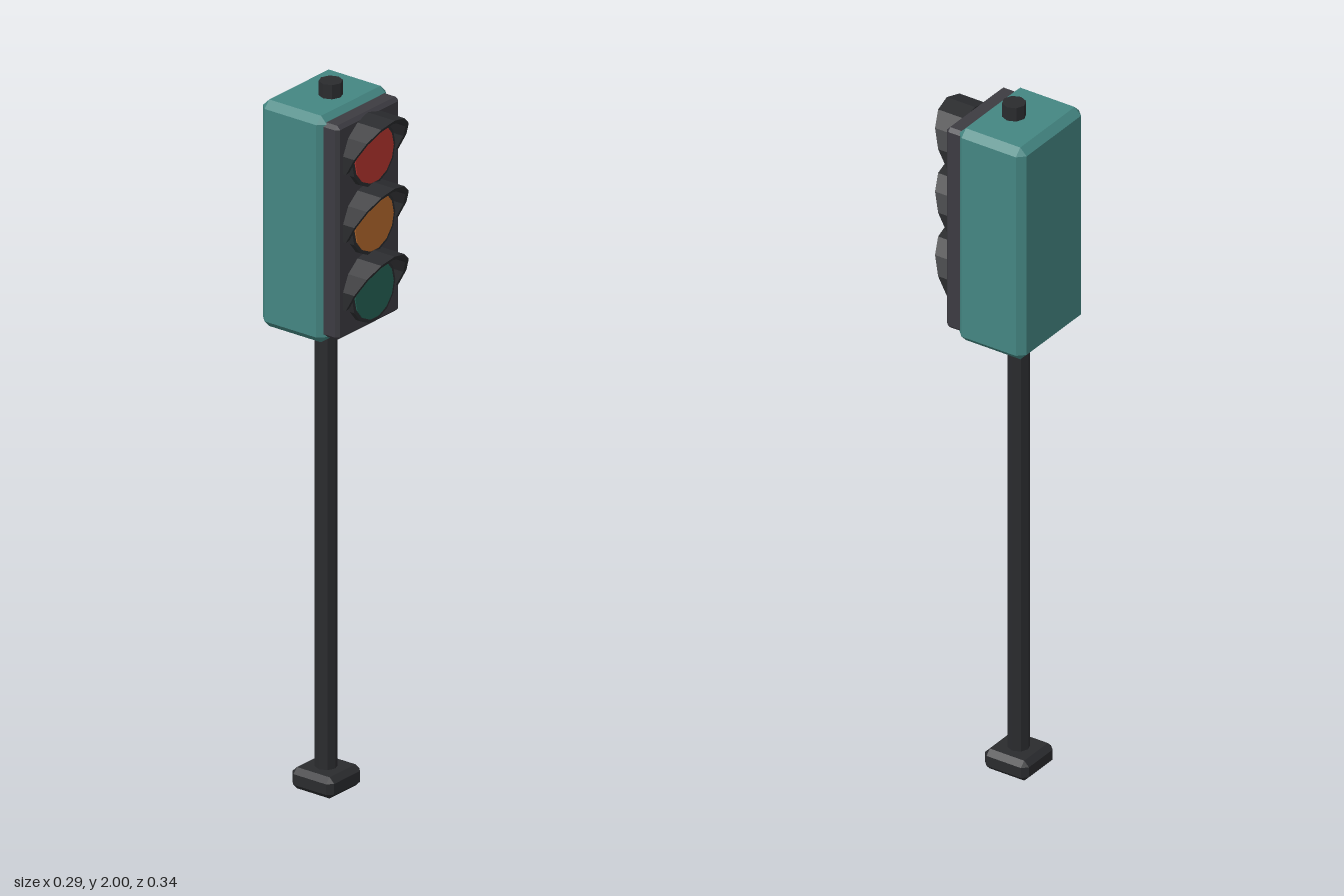
import * as THREE from 'three';
import { ConvexGeometry } from 'three/addons/geometries/ConvexGeometry.js';

const paint = (color) => new THREE.MeshStandardMaterial({ color, flatShading: true });

// Box with every edge cut at 45 degrees by c
function chamferBox(w, h, d, c) {
  const [x, y, z] = [w / 2, h / 2, d / 2];
  const points = [];
  for (const i of [-1, 1]) for (const j of [-1, 1]) for (const k of [-1, 1]) {
    points.push(
      new THREE.Vector3(i * x, j * (y - c), k * (z - c)),
      new THREE.Vector3(i * (x - c), j * y, k * (z - c)),
      new THREE.Vector3(i * (x - c), j * (y - c), k * z));
  }
  return new ConvexGeometry(points);
}

// Disc whose axis runs along z
const disc = (r, depth) =>
  new THREE.CylinderGeometry(r, r, depth, 14).rotateX(Math.PI / 2).rotateZ(Math.PI / 14);

// Arched hood, its front edge cut by a sloping plane
function visorGeometry() {
  const outer = 0.112, inner = 0.1, step = Math.PI / 7;
  const shape = new THREE.Shape();
  for (let i = -4; i <= 4; i++) {
    const x = Math.sin(i * step) * outer, y = Math.cos(i * step) * outer;
    if (i === -4) shape.moveTo(x, y); else shape.lineTo(x, y);
  }
  for (let i = 4; i >= -4; i--) shape.lineTo(Math.sin(i * step) * inner, Math.cos(i * step) * inner);
  shape.closePath();
  const geometry = new THREE.ExtrudeGeometry(shape, { depth: 1, bevelEnabled: false });
  const p = geometry.attributes.position;
  for (let i = 0; i < p.count; i++) {
    p.setZ(i, p.getZ(i) > 0.5 ? 0.105 + 0.55 * p.getY(i) : 0.078);
  }
  geometry.computeVertexNormals();
  return geometry;
}

export function createModel() {
  const model = new THREE.Group();
  model.name = 'trafficLight';
  const black = paint(0x2a2b2e), grey = paint(0x3c3b41), teal = paint(0x448682);

  const add = (name, geometry, material, x, y, z, parent = model) => {
    const mesh = new THREE.Mesh(geometry, material);
    mesh.name = name;
    mesh.position.set(x, y, z);
    parent.add(mesh);
    return mesh;
  };

  // Post and foot
  add('base', chamferBox(0.138, 0.06, 0.138, 0.015), black, 0, 0.03, -0.06);
  add('pole', new THREE.CylinderGeometry(0.03, 0.03, 1.31, 8), black, 0, 0.695, -0.06);

  // Housing with cap and front panel
  add('housing', chamferBox(0.288, 0.64, 0.211, 0.02), teal, 0, 1.64, -0.0645);
  add('cap', new THREE.CylinderGeometry(0.032, 0.032, 0.06, 8), black, 0, 1.97, -0.045);
  add('frontPanel', chamferBox(0.262, 0.605, 0.06, 0.01), grey, 0, 1.642, 0.052);

  // Three lamps, each with a bezel and a visor
  const bezel = disc(0.09, 0.02), lens = disc(0.08, 0.02), visor = visorGeometry();
  const lamps = [['redLamp', 0xb5352f], ['amberLamp', 0xb5692d], ['greenLamp', 0x256154]];
  lamps.forEach(([name, color], i) => {
    const lamp = new THREE.Group();
    lamp.name = name;
    lamp.position.y = 1.831 - 0.192 * i;
    model.add(lamp);
    add('bezel', bezel, black, 0, 0, 0.087, lamp);
    add('lens', lens, paint(color), 0, 0, 0.09, lamp);
    add('visor', visor, black, 0, 0, 0, lamp);
  });

  return model;
}
